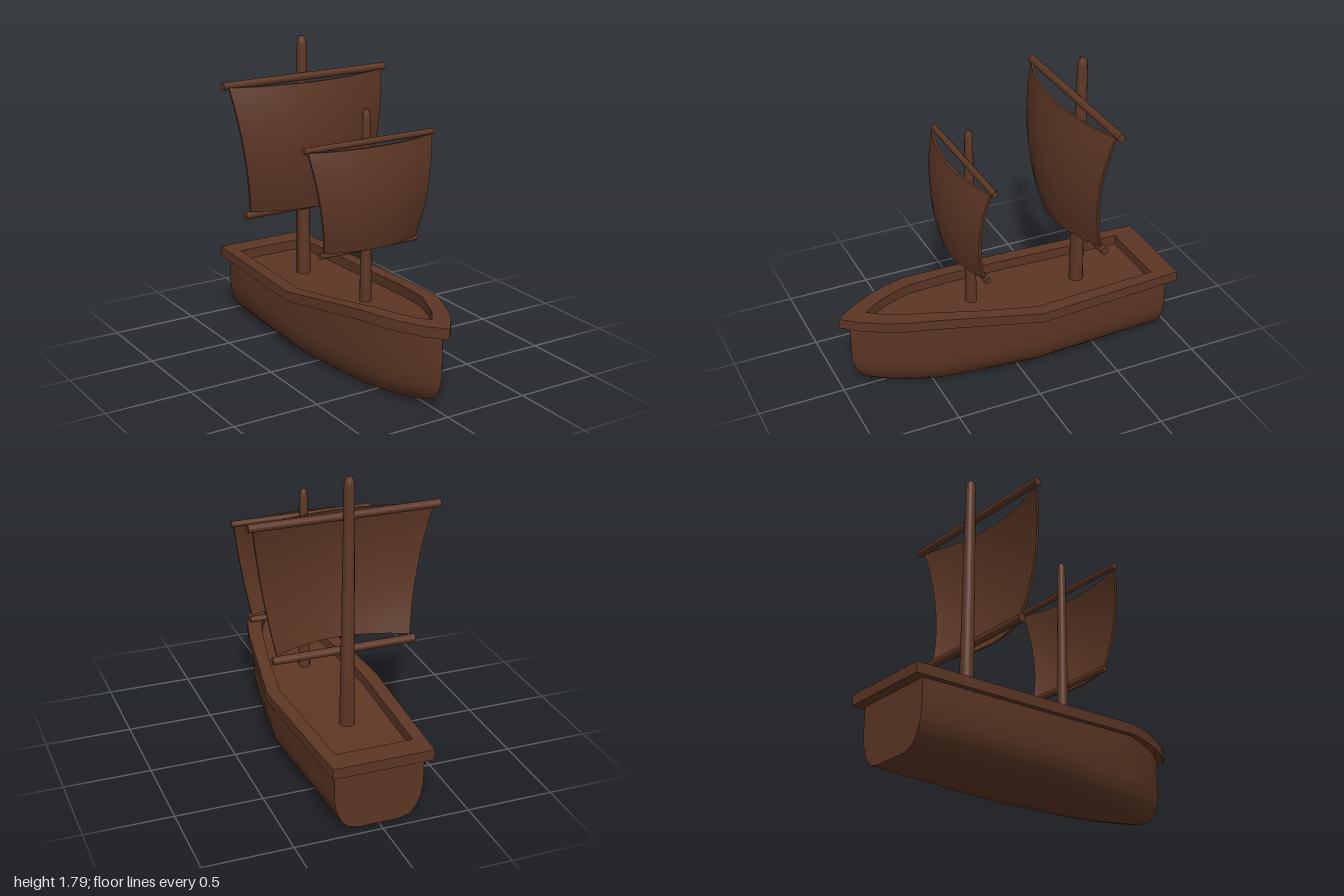
import * as THREE from 'three';
import { toCreasedNormals } from 'three/addons/utils/BufferGeometryUtils.js';

// Skin a stack of closed rings of [x, y, z]; optionally cap both ends with strips
function loft(rings, caps, crease = 0.6) {
  const n = rings[0].length, idx = [];
  for (let l = 0; l < rings.length - 1; l++) {
    for (let i = 0; i < n; i++) {
      const j = (i + 1) % n;
      const a = l * n + i, b = l * n + j, c = b + n, d = a + n;
      idx.push(a, d, c, a, c, b);
    }
  }
  if (caps) {
    const top = (rings.length - 1) * n;
    for (let i = 0; i < Math.floor(n / 2); i++) {
      const p = i, p2 = i + 1, q = n - 1 - i, q2 = n - 2 - i;
      if (p2 > q2) break;
      idx.push(top + p, top + q, top + q2, p, q2, q);
      if (p2 !== q2) idx.push(top + p, top + q2, top + p2, p, p2, q2);
    }
  }
  const geo = new THREE.BufferGeometry();
  geo.setAttribute('position', new THREE.Float32BufferAttribute(rings.flat(2), 3));
  geo.setIndex(idx);
  return toCreasedNormals(geo, crease);
}

// Mirror a stern-to-bow half outline of [z, x] into a full ring
function ring(half, place) {
  const left = half.map(([z, x]) => place(x, z));
  const right = left.slice(0, -1).reverse().map(([x, y, z]) => [-x, y, z]);
  return [...left, ...right];
}

// Height of the rail top along the ship
const sheer = z => 0.42 + 0.075 * THREE.MathUtils.clamp((z + 0.1) / 0.63, 0, 1);

export function createModel() {
  const group = new THREE.Group();
  group.name = 'sailingShip';
  const wood = new THREE.MeshStandardMaterial({ color: 0x5c3624 });
  wood.name = 'brown wood';

  const add = (name, geo, x = 0, y = 0, z = 0, parent = group) => {
    const mesh = new THREE.Mesh(geo, wood);
    mesh.name = name;
    mesh.position.set(x, y, z);
    parent.add(mesh);
    return mesh;
  };

  // Hull with its deck: outline drawn in towards the keel and under the bow
  const hullLine = [[-0.94, 0.255], [-0.1, 0.305], [0.25, 0.25], [0.53, 0.203],
    [0.63, 0.17], [0.75, 0.118], [0.86, 0.06], [0.94, 0]];
  const levels = [[0, 0.46, 0.62], [0.015, 0.69, 0.78], [0.06, 0.85, 0.905],
    [0.12, 0.95, 0.97], [0.2, 1, 1]];
  const hullRings = levels.map(([y, kx, kz]) =>
    ring(hullLine, (x, z) => [x * kx, y, z < 0.2 ? z : 0.2 + (z - 0.2) * kz]));
  hullRings.push(ring(hullLine, (x, z) => [x, sheer(z) - 0.06, z]));
  add('hull', loft(hullRings, true));

  // Rail running round the deck
  const outer = [[-1, 0.285], [-0.1, 0.335], [0.25, 0.28], [0.53, 0.235],
    [0.65, 0.203], [0.78, 0.15], [0.9, 0.082], [1, 0]];
  const inner = [[-0.86, 0.22], [-0.1, 0.255], [0.25, 0.207], [0.53, 0.15],
    [0.62, 0.12], [0.71, 0.083], [0.78, 0.045], [0.84, 0]];
  const railRing = (line, drop) => ring(line, (x, z) => [x, sheer(z) - drop, z]);
  add('rail', loft([railRing(outer, 0.06), railRing(outer, 0), railRing(inner, 0),
    railRing(inner, 0.06), railRing(outer, 0.06)], false));

  // Billowing sail with a little thickness
  function sailGeometry(s) {
    const rings = [], nu = 8, nv = 10, thick = 0.015;
    for (let r = 0; r <= nv; r++) {
      const v = r / nv, y = THREE.MathUtils.lerp(s.low, s.high, v);
      const w = THREE.MathUtils.lerp(s.lowHalf, s.highHalf, v);
      const front = [], back = [];
      for (let k = 0; k <= nu; k++) {
        const u = 1 - 2 * k / nu;
        const z = s.z + s.edge * (1 - (2 * v - 1) ** 2) + s.belly * (1 - u * u);
        front.push([u * w, y, z + thick]);
        back.unshift([u * w, y, z]);
      }
      rings.push([...front, ...back]);
    }
    return loft(rings, true, 0.7);
  }

  // Mast, two yards and a sail for each rig
  function addRig(name, r) {
    const rig = new THREE.Group();
    rig.name = name;
    group.add(rig);
    const t = r.tip, b = r.base;
    const profile = [[0, 0.3], [b, 0.3], [t, r.top - 0.05], [t * 0.85, r.top - 0.02],
      [t * 0.5, r.top - 0.003], [0, r.top]].map(([x, y]) => new THREE.Vector2(x, y));
    add('mast', toCreasedNormals(new THREE.LatheGeometry(profile, 14), 0.8), 0, 0, r.z, rig);
    for (const [label, y, half] of [['upperYard', ...r.upper], ['lowerYard', ...r.lower]]) {
      const yard = new THREE.CylinderGeometry(r.yard, r.yard, half * 2, 12);
      add(label, yard, 0, y, r.yardZ, rig).rotation.z = Math.PI / 2;
    }
    add('sail', sailGeometry(r.sail), 0, 0, 0, rig);
  }

  addRig('mainRig', {
    z: -0.475, base: 0.043, tip: 0.029, top: 1.795, yard: 0.023, yardZ: -0.432,
    upper: [1.563, 0.535], lower: [0.792, 0.41],
    sail: { low: 0.815, high: 1.555, lowHalf: 0.385, highHalf: 0.505, z: -0.425, edge: 0.052, belly: 0.103 },
  });
  addRig('foreRig', {
    z: 0.205, base: 0.035, tip: 0.023, top: 1.5, yard: 0.018, yardZ: 0.238,
    upper: [1.325, 0.415], lower: [0.725, 0.315],
    sail: { low: 0.743, high: 1.317, lowHalf: 0.3, highHalf: 0.398, z: 0.245, edge: 0.042, belly: 0.073 },
  });

  return group;
}
